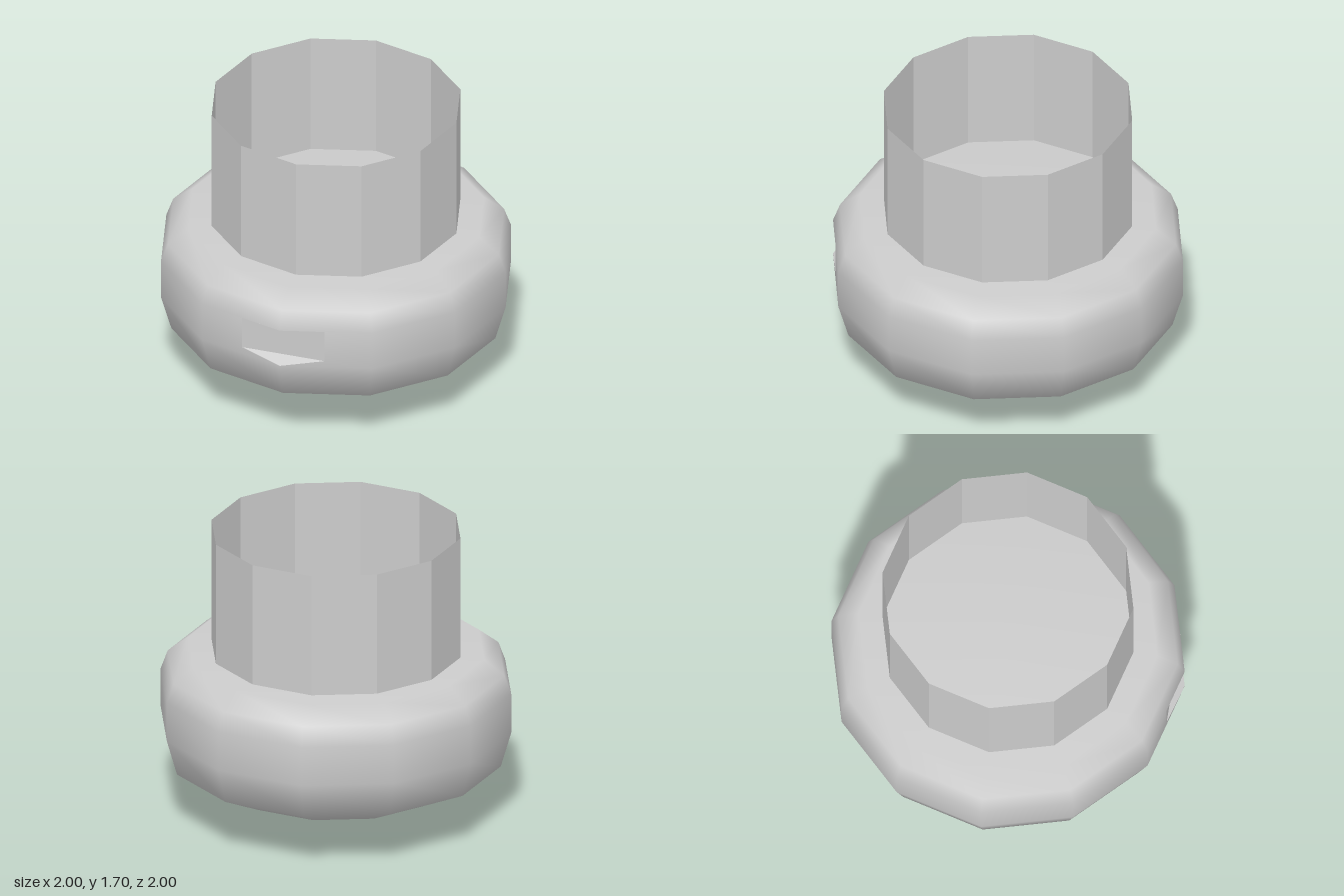
import * as THREE from 'three';

const SIDES = 12;

export function createModel() {
  const group = new THREE.Group();
  const smooth = new THREE.MeshStandardMaterial({ color: 0xcccccc });
  const flat = new THREE.MeshStandardMaterial({ color: 0xcccccc, flatShading: true, side: THREE.DoubleSide });
  const add = (name, geometry, material, y = 0) => {
    const mesh = new THREE.Mesh(geometry, material);
    mesh.name = name;
    mesh.position.y = y;
    group.add(mesh);
    return mesh;
  };

  // Squat rounded body, closed at top and bottom
  const profile = [
    [0, 0.205], [0.66, 0.205], [0.94, 0.34], [1, 0.55],
    [1, 0.78], [0.96, 0.89], [0.845, 0.98], [0, 0.98],
  ].map(([r, y]) => new THREE.Vector2(r, y));
  const body = new THREE.LatheGeometry(profile, SIDES);

  // Leave out the two front facets of the widest band, where the notch sits
  const rows = profile.length - 1;
  const index = Array.from(body.index.array);
  const gaps = [0, SIDES - 1].map((side) => side * rows + 3);
  body.setIndex(index.filter((_, i) => !gaps.includes(Math.floor(i / 6))));
  add('body', body, smooth);

  // Front facets around the notch, one on each side
  const w = 0.243, back = 0.935, low = 0.55, lip = 0.59, high = 0.78;
  for (const s of [1, -1]) {
    const outline = [[0, low], [0.5, low], [0.5, high], [w, high], [w, lip]];
    const facet = new THREE.ShapeGeometry(new THREE.Shape(outline.map(([x, y]) => new THREE.Vector2(s * x, y))));
    const { position, normal } = facet.attributes;
    for (let i = 0; i < position.count; i++) {
      const x = position.getX(i), y = position.getY(i);
      position.setZ(i, 1 - 0.268 * Math.abs(x));
      const angle = (x / 0.5) * (Math.PI / 6);
      const tilt = THREE.MathUtils.mapLinear(y, low, high, -0.136, 0.118);
      const n = new THREE.Vector3(Math.sin(angle), tilt, Math.cos(angle)).normalize();
      normal.setXYZ(i, n.x, n.y, n.z);
    }
    add(s > 0 ? 'leftFrontFacet' : 'rightFrontFacet', facet, smooth);
  }

  // Notch: flat back panel, sloping floor and level ceiling
  const notch = new THREE.BufferGeometry();
  notch.setAttribute('position', new THREE.Float32BufferAttribute([
    -w, lip, back, w, lip, back, w, high, back, -w, high, back,
    0, low, 1, 0, high, 1,
  ], 3));
  notch.setIndex([0, 1, 2, 0, 2, 3, 4, 1, 0, 5, 3, 2]);
  notch.computeVertexNormals();
  add('notch', notch, flat);

  // Open faceted neck
  add('neck', new THREE.CylinderGeometry(0.71, 0.71, 0.72, SIDES, 1, true), flat, 1.34);

  // Four-sided point under the body
  const tip = add('bottomPoint', new THREE.ConeGeometry(0.265 * Math.SQRT2, 0.205, 4, 1, true), flat, 0.1025);
  tip.rotation.set(Math.PI, Math.PI / 4, 0);

  return group;
}
